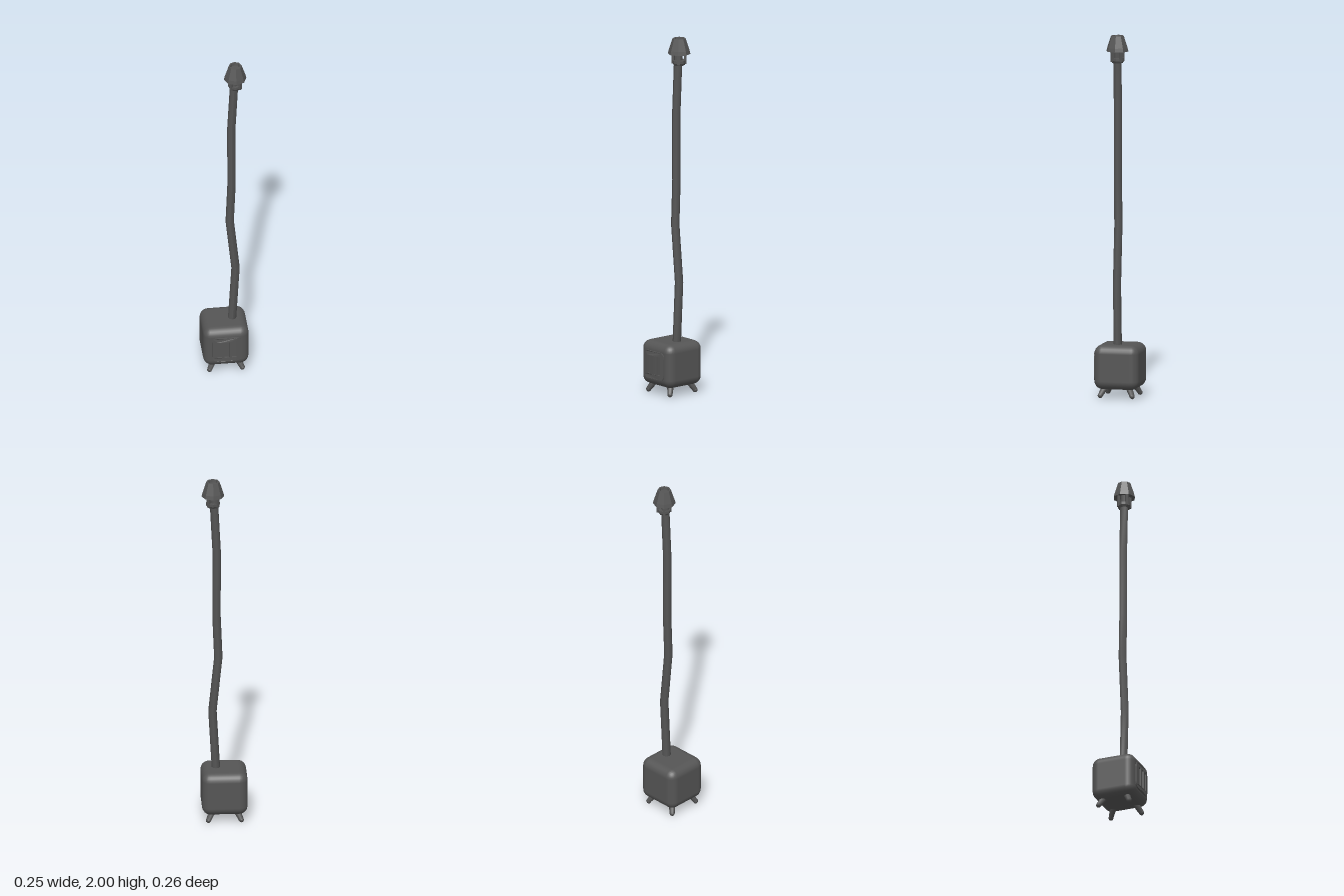
import * as THREE from 'three';
import { RoundedBoxGeometry } from 'three/addons/geometries/RoundedBoxGeometry.js';

const iron = new THREE.MeshStandardMaterial({ color: 0x555555 });
const facetedIron = new THREE.MeshStandardMaterial({ color: 0x555555, flatShading: true });

function add(parent, name, geometry, material = iron) {
  const mesh = new THREE.Mesh(geometry, material);
  mesh.name = name;
  parent.add(mesh);
  return mesh;
}

// Tapered rod between two points
function rod(parent, name, from, to, r0, r1, sides = 8) {
  const dir = to.clone().sub(from);
  const mesh = add(parent, name, new THREE.CylinderGeometry(r1, r0, dir.length(), sides));
  mesh.position.copy(from).add(to).multiplyScalar(0.5);
  mesh.quaternion.setFromUnitVectors(new THREE.Vector3(0, 1, 0), dir.normalize());
  return mesh;
}

// Front door: rounded panel with three slots and a gently bowed face
function doorGeometry() {
  const w = 0.08, h = 0.077, r = 0.03;
  const s = new THREE.Shape();
  s.moveTo(-w + r, -h);
  for (const x of [-0.025, 0, 0.025, w - r]) s.lineTo(x, -h);
  s.quadraticCurveTo(w, -h, w, -h + r);
  s.lineTo(w, h - r);
  s.quadraticCurveTo(w, h, w - r, h);
  for (const x of [0.025, 0, -0.025, -w + r]) s.lineTo(x, h);
  s.quadraticCurveTo(-w, h, -w, h - r);
  s.lineTo(-w, -h + r);
  s.quadraticCurveTo(-w, -h, -w + r, -h);
  for (const x of [-0.04, 0, 0.04]) {
    const slot = new THREE.Path();
    slot.moveTo(x - 0.013, -0.052);
    slot.lineTo(x - 0.013, 0.052);
    slot.lineTo(x + 0.013, 0.052);
    slot.lineTo(x + 0.013, -0.052);
    slot.closePath();
    s.holes.push(slot);
  }
  const g = new THREE.ExtrudeGeometry(s, { depth: 0.028, bevelEnabled: false, curveSegments: 4 });
  const p = g.attributes.position;
  for (let i = 0; i < p.count; i++) {
    if (p.getZ(i) > 0.01) p.setZ(i, p.getZ(i) - 1.1 * p.getX(i) ** 2);
  }
  g.computeVertexNormals();
  return g;
}

// Crooked stovepipe: one ring of vertices per bend
function pipeGeometry() {
  const bends = [[0.043, 0.27], [0.063, 0.63], [0.031, 0.95], [0.041, 1.2], [0.04, 1.58], [0.058, 1.93]];
  const g = new THREE.CylinderGeometry(0.023, 0.023, 1, 8, bends.length - 1);
  const p = g.attributes.position;
  for (let i = 0; i < p.count; i++) {
    const [x, y] = bends[Math.round((p.getY(i) + 0.5) * (bends.length - 1))];
    p.setX(i, p.getX(i) + x);
    p.setY(i, y);
  }
  g.computeVertexNormals();
  return g;
}

export function createModel() {
  const stove = new THREE.Group();
  stove.name = 'stove';

  // Firebox
  add(stove, 'body', new RoundedBoxGeometry(0.25, 0.245, 0.25, 3, 0.047)).position.set(0, 0.173, -0.007);
  add(stove, 'door', doorGeometry()).position.set(0, 0.172, 0.101);

  // Splayed feet
  for (const sx of [-1, 1]) {
    for (const sz of [-1, 1]) {
      const top = new THREE.Vector3(sx * 0.06, 0.075, sz * 0.06 - 0.006);
      const tip = new THREE.Vector3(sx * 0.09, 0.016, sz * 0.09 - 0.006);
      rod(stove, 'foot', top, tip, 0.02, 0.014);
      const toe = add(stove, 'footTip', new THREE.SphereGeometry(0.0145, 8, 6));
      toe.position.copy(tip);
    }
  }

  // Chimney
  add(stove, 'pipe', pipeGeometry()).position.z = -0.004;

  const top = new THREE.Group();
  top.name = 'chimneyTop';
  top.position.set(0.061, 0, -0.006);
  stove.add(top);

  const lathe = (pts) => new THREE.LatheGeometry(pts.map(([x, y]) => new THREE.Vector2(x, y)), 8);
  add(top, 'collar', lathe([[0, 1.85], [0.03, 1.85], [0.038, 1.863], [0.038, 1.878], [0, 1.878]]), facetedIron);
  for (let i = 0; i < 4; i++) {
    const a = (i + 0.5) * Math.PI / 2;
    const post = add(top, 'capPost', new THREE.BoxGeometry(0.014, 0.07, 0.014), facetedIron);
    post.position.set(Math.sin(a) * 0.034, 1.893, Math.cos(a) * 0.034);
    post.rotation.y = a;
  }
  add(top, 'cap', lathe([[0, 1.925], [0.05, 1.922], [0.062, 1.914], [0.057, 1.935],
    [0.036, 2], [0.027, 2], [0.025, 1.985], [0, 1.985]]), facetedIron);

  return stove;
}
